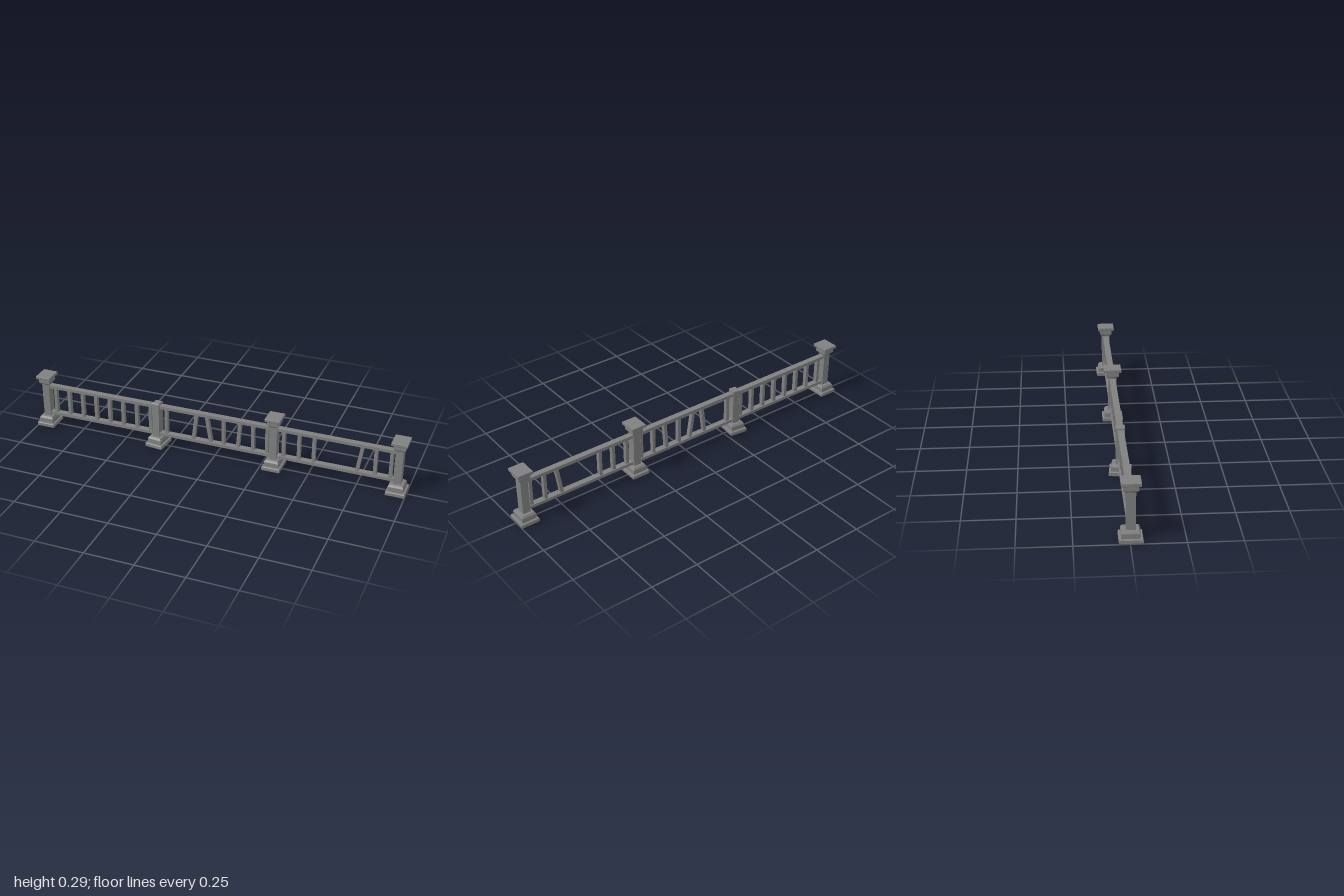
import * as THREE from 'three';

const material = new THREE.MeshStandardMaterial({ color: 0x808080, flatShading: true });
const DEPTH_RATIO = 1.13; // posts are a little deeper than wide

// Square-section solid from [half width, y] pairs
function squareLathe(profile, name) {
  const points = profile.map(([h, y]) => new THREE.Vector2(h * Math.SQRT2, y));
  const geometry = new THREE.LatheGeometry(points, 4, Math.PI / 4);
  geometry.scale(1, 1, DEPTH_RATIO);
  const mesh = new THREE.Mesh(geometry, material);
  mesh.name = name;
  return mesh;
}

// Beam between two points, local x along its length
function beam(a, b, height, depth, name) {
  const mesh = new THREE.Mesh(new THREE.BoxGeometry(a.distanceTo(b), height, depth), material);
  mesh.position.copy(a).add(b).multiplyScalar(0.5);
  mesh.quaternion.setFromUnitVectors(new THREE.Vector3(1, 0, 0), b.clone().sub(a).normalize());
  mesh.name = name;
  return mesh;
}

function createPost(capped) {
  const post = new THREE.Group();
  post.name = capped ? 'post' : 'brokenPost';
  post.add(squareLathe([[0, 0], [0.046, 0], [0.048, 0.003], [0.048, 0.018], [0.046, 0.021], [0, 0.021]], 'plinth'));
  post.add(squareLathe([[0, 0.02], [0.038, 0.02], [0.038, 0.045], [0.032, 0.055], [0, 0.055]], 'foot'));
  const top = capped ? 0.245 : 0.248;
  post.add(squareLathe([[0, 0.05], [0.0195, 0.05], [0.0195, top - 0.004], [0.017, top], [0, top]], 'shaft'));
  if (capped) {
    post.add(squareLathe([[0, 0.24], [0.0195, 0.24], [0.03, 0.252], [0.03, 0.278], [0, 0.278]], 'capital'));
    post.add(squareLathe([[0, 0.277], [0.039, 0.277], [0.04, 0.279], [0.04, 0.291], [0.039, 0.293], [0, 0.293]], 'cap'));
  }
  return post;
}

export function createModel() {
  const model = new THREE.Group();
  model.name = 'balustrade';

  // Posts: x, z, turn, capped
  const posts = [
    [-0.952, 0.004, 0, true],
    [-0.318, 0, -0.11, false],
    [0.316, -0.002, 0, true],
    [0.952, -0.004, 0, true],
  ];
  for (const [x, z, turn, capped] of posts) {
    const post = createPost(capped);
    post.position.set(x, 0, z);
    post.rotation.y = turn;
    model.add(post);
  }

  // Balusters per bay: x at the bottom and at the top, with some missing or loose
  const bays = [
    [-0.902, -0.823, -0.745, -0.667, -0.589, -0.512, -0.434, -0.356].map((x) => [x, x]),
    [[-0.267, -0.267], [-0.118, -0.099], [-0.021, -0.045], [0.047, 0.047], [0.124, 0.136], [0.205, 0.205], [0.28, 0.28]],
    [[0.367, 0.367], [0.447, 0.447], [0.524, 0.524], [0.746, 0.769], [0.836, 0.836], [0.914, 0.914]],
  ];
  bays.forEach((balusters, i) => {
    const [x0, z0] = posts[i];
    const [x1, z1] = posts[i + 1];
    const zAt = (x) => z0 + ((z1 - z0) * (x - x0)) / (x1 - x0);
    const bay = new THREE.Group();
    bay.name = 'railing';
    for (const [y, name] of [[0.07, 'bottomRail'], [0.227, 'topRail']]) {
      bay.add(beam(new THREE.Vector3(x0, y, z0), new THREE.Vector3(x1, y, z1), 0.016, 0.031, name));
    }
    for (const [low, high] of balusters) {
      bay.add(beam(new THREE.Vector3(low, 0.072, zAt(low)), new THREE.Vector3(high, 0.225, zAt(high)), 0.017, 0.022, 'baluster'));
    }
    model.add(bay);
  });

  return model;
}
